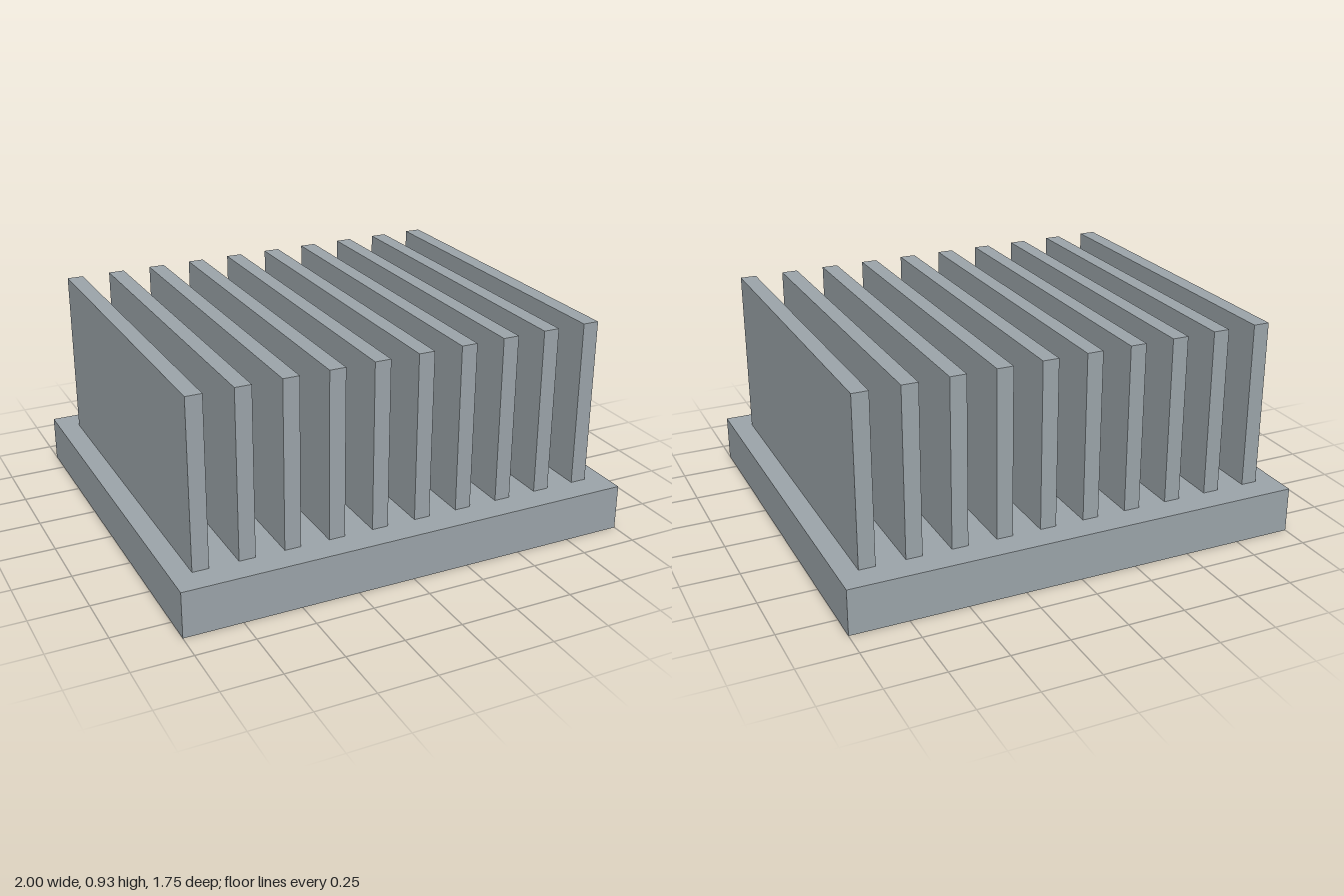
import * as THREE from 'three';

const BASE = { width: 2, height: 0.2, depth: 1.75 };
const FIN = { width: 0.07, height: 0.73, depth: 1.51, count: 10, span: 1.75 };

export function createModel() {
  const model = new THREE.Group();
  model.name = 'heatSink';

  const aluminium = new THREE.MeshStandardMaterial({ color: 0x9ca5aa });
  aluminium.name = 'aluminium';

  // Solid base plate
  const base = new THREE.Mesh(new THREE.BoxGeometry(BASE.width, BASE.height, BASE.depth), aluminium);
  base.name = 'basePlate';
  base.position.y = BASE.height / 2;
  model.add(base);

  // Row of evenly spaced upright cooling fins
  const fins = new THREE.Group();
  fins.name = 'coolingFins';
  const finGeometry = new THREE.BoxGeometry(FIN.width, FIN.height, FIN.depth);
  for (let i = 0; i < FIN.count; i++) {
    const fin = new THREE.Mesh(finGeometry, aluminium);
    fin.name = `fin${i + 1}`;
    fin.position.set((i / (FIN.count - 1) - 0.5) * FIN.span, BASE.height + FIN.height / 2, 0);
    fins.add(fin);
  }
  model.add(fins);

  return model;
}
